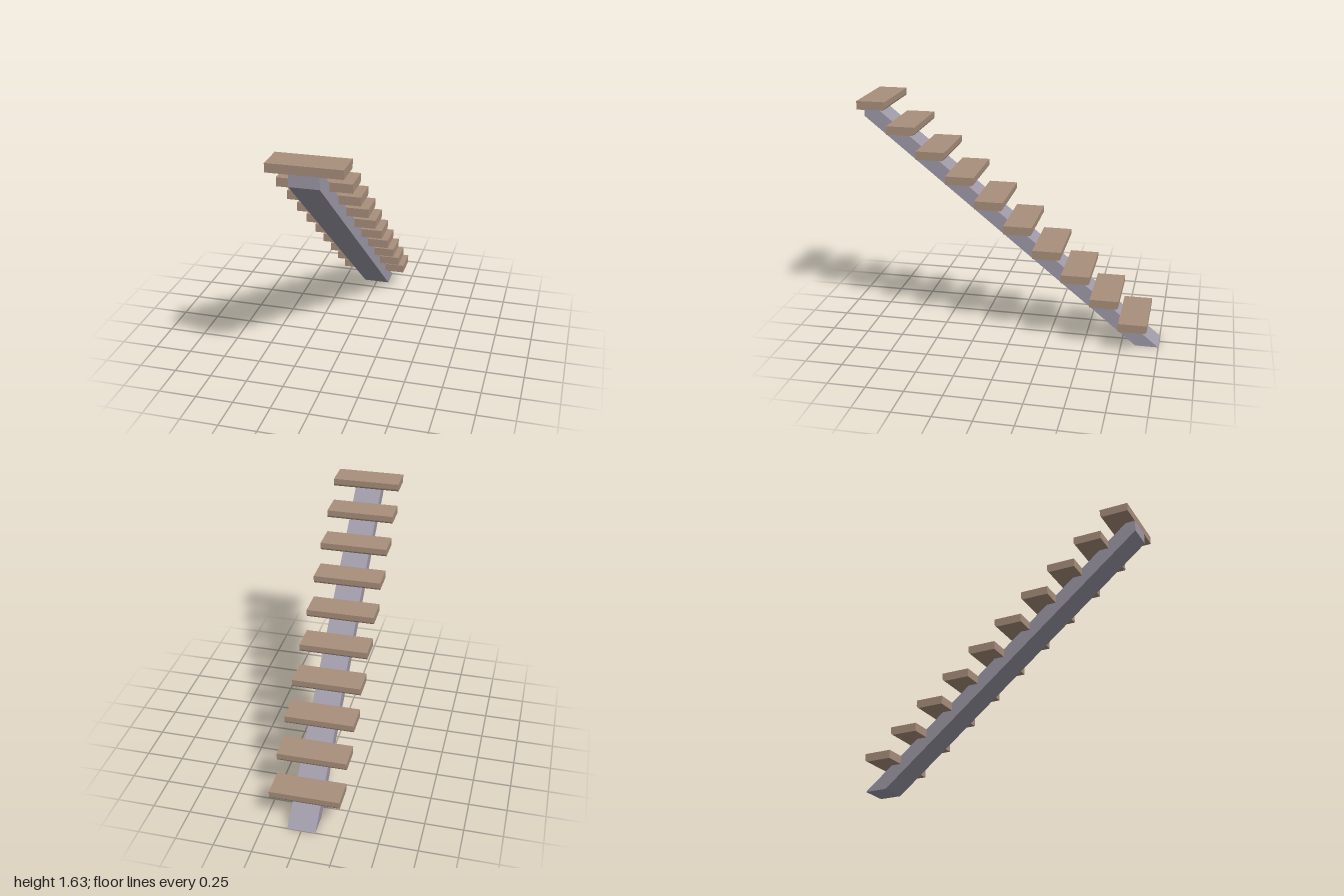
import * as THREE from 'three';

const STEPS = 10, RUN = 0.1928, RISE = 0.1573;

// Extrude a side profile drawn in (z, y) across x, centred on x = 0
function acrossX(shape, width) {
  return new THREE.ExtrudeGeometry(shape, { depth: width, bevelEnabled: false, curveSegments: 4 })
    .translate(0, 0, -width / 2)
    .rotateY(-Math.PI / 2);
}

export function createModel() {
  const group = new THREE.Group();
  group.name = 'staircase';

  const wood = new THREE.MeshStandardMaterial({ color: 0xa98f7c });
  wood.name = 'wood';
  const steel = new THREE.MeshStandardMaterial({ color: 0x9e9aa8 });
  steel.name = 'greyMetal';

  // Sloping central beam with a level foot and a plumb-cut top
  const beam = new THREE.Shape([
    [-1, 0], [-0.845, 0], [1, 1.5], [1, 1.575], [0.938, 1.575],
  ].map(([z, y]) => new THREE.Vector2(z, y)));
  const stringer = new THREE.Mesh(acrossX(beam, 0.184), steel);
  stringer.name = 'centralStringer';
  group.add(stringer);

  // Tread profile with a rounded lower nosing
  const profile = new THREE.Shape();
  profile.moveTo(0, 0);
  profile.lineTo(0, 0.056);
  profile.lineTo(-0.191, 0.056);
  profile.lineTo(-0.191, 0.018);
  profile.quadraticCurveTo(-0.188, 0.003, -0.173, 0);
  profile.closePath();
  const treadGeometry = acrossX(profile, 0.46);

  for (let i = 0; i < STEPS; i++) {
    const tread = new THREE.Mesh(treadGeometry, wood);
    tread.name = `tread${i + 1}`;
    const down = STEPS - 1 - i;
    tread.position.set(0, 1.574 - down * RISE, 1 - down * RUN);
    group.add(tread);
  }
  return group;
}
